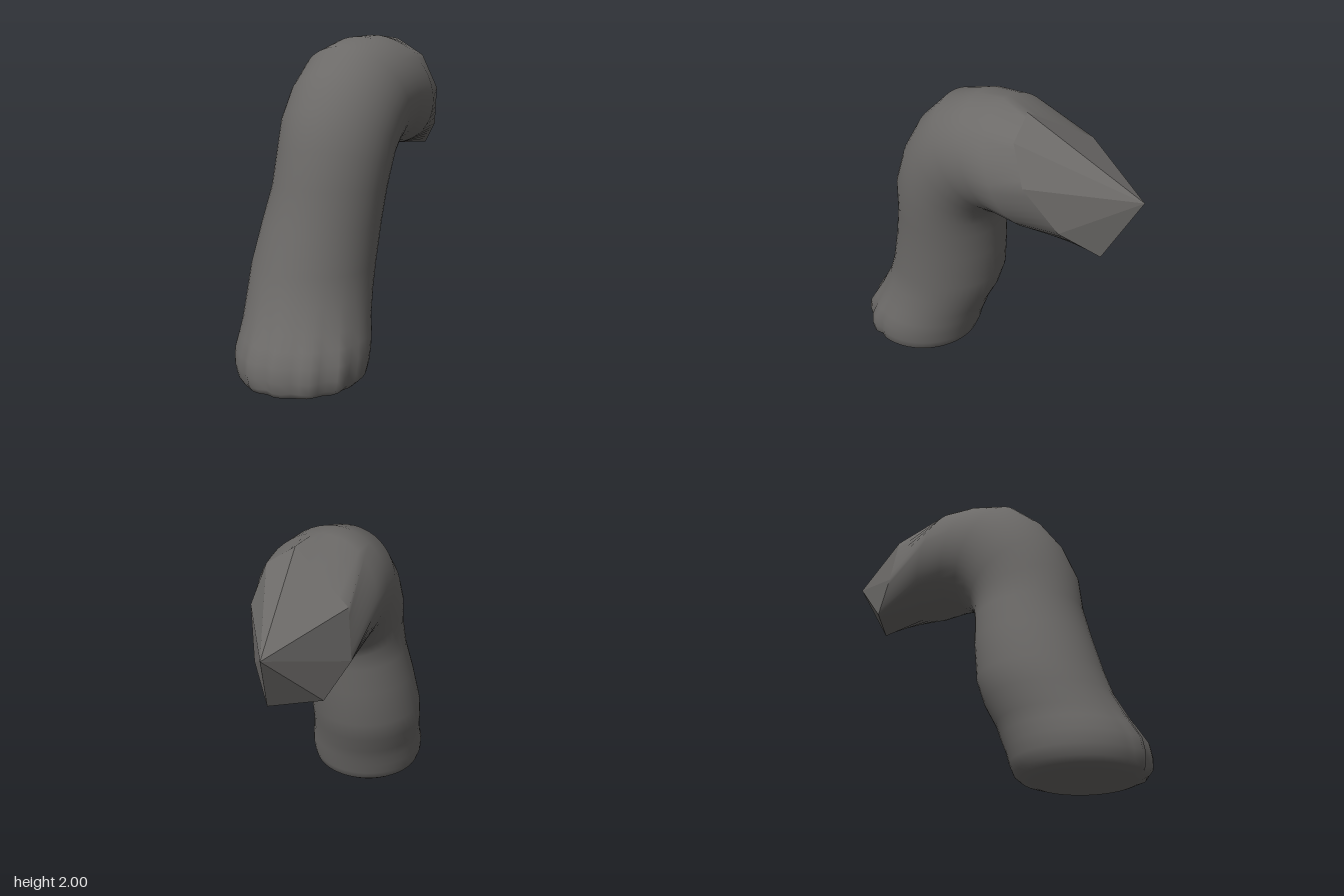
import * as THREE from 'three';

const N = 48; // points around each ring
// the limb bends backwards in the vertical plane along -FWD; SIDE is across it
const FWD = new THREE.Vector3(-0.42, 0, 0.907);
const SIDE = new THREE.Vector3(0.907, 0, 0.42);
const UP = new THREE.Vector3(0, 1, 0);

// rings: centre x, y, z, in-plane radius, side radius, tilt in degrees, toe depth
const RINGS = [
  [-0.19, 0.01, 0.56, 0.29, 0.29, 0, 0.0],
  [-0.20, 0.03, 0.55, 0.355, 0.35, 0, 0.02],
  [-0.195, 0.06, 0.54, 0.38, 0.38, 0, 0.035],
  [-0.195, 0.12, 0.53, 0.395, 0.395, 0, 0.04],
  [-0.19, 0.20, 0.515, 0.40, 0.40, 0, 0.035],
  [-0.18, 0.28, 0.48, 0.395, 0.39, 0, 0.02],
  [-0.175, 0.36, 0.445, 0.385, 0.38, 0, 0.008],
  [-0.165, 0.50, 0.375, 0.385, 0.375, 0, 0],
  [-0.148, 0.65, 0.33, 0.385, 0.372, 0, 0],
  [-0.102, 0.90, 0.295, 0.365, 0.358, 0, 0],
  [-0.058, 1.10, 0.275, 0.345, 0.345, 4, 0],
  [-0.03, 1.26, 0.265, 0.35, 0.345, 15, 0],
  [-0.01, 1.40, 0.215, 0.355, 0.355, 30, 0],
  [0.03, 1.52, 0.14, 0.365, 0.36, 43, 0],
  [0.08, 1.615, 0.04, 0.375, 0.36, 56, 0],
  [0.15, 1.65, -0.10, 0.37, 0.36, 66, 0],
  [0.23, 1.65, -0.26, 0.38, 0.36, 68, 0],
];

// angular corners of the cut end, starting at the top and going round by +x
const END = [
  [0.33, 1.985, -0.27], [0.49, 1.88, -0.23], [0.588, 1.67, -0.30], [0.585, 1.42, -0.50],
  [0.53, 1.27, -0.73], [0.23, 1.29, -0.74], [0.07, 1.47, -0.65], [0.08, 1.76, -0.60],
].map((p) => new THREE.Vector3(...p));
const TIP = new THREE.Vector3(0.55, 1.65, -0.93);
const SOLE = new THREE.Vector3(-0.19, 0, 0.56);

function ringPoints([x, y, z, r, rs, tilt, toe]) {
  const a = THREE.MathUtils.degToRad(tilt);
  const out = FWD.clone().multiplyScalar(Math.cos(a)).addScaledVector(UP, Math.sin(a));
  const pts = [];
  for (let j = 0; j < N; j++) {
    const phi = (j / N) * Math.PI * 2;
    const p = new THREE.Vector3().addScaledVector(out, r * Math.cos(phi)).addScaledVector(SIDE, rs * Math.sin(phi));
    // four rounded toes across the front of the paw
    const psi = Math.atan2(p.x, p.z);
    if (toe && Math.abs(psi) < 0.9) {
      p.multiplyScalar(1 + (toe / r) * (Math.abs(Math.sin((psi * Math.PI) / 0.45)) - 0.5));
    }
    pts.push(p.add(new THREE.Vector3(x, y, z)));
  }
  return pts;
}

function endPoints() {
  const step = N / END.length;
  return Array.from({ length: N }, (_, j) => {
    const k = Math.floor(j / step);
    return END[k].clone().lerp(END[(k + 1) % END.length], (j % step) / step);
  });
}

// skin stretched over successive rings, with smooth normals
function loft(rings) {
  const index = [];
  for (let i = 0; i < rings.length - 1; i++) {
    for (let j = 0; j < N; j++) {
      const k = (j + 1) % N;
      const a = i * N + j, b = i * N + k, c = a + N, d = b + N;
      index.push(a, b, c, b, d, c);
    }
  }
  const geo = new THREE.BufferGeometry().setFromPoints(rings.flat());
  geo.setIndex(index);
  geo.computeVertexNormals();
  return geo;
}

// flat-faced fan from a closed loop to one point
function fan(loop, apex, flip) {
  const pts = [];
  loop.forEach((p, j) => {
    const q = loop[(j + 1) % loop.length];
    pts.push(...(flip ? [q, p, apex] : [p, q, apex]));
  });
  const geo = new THREE.BufferGeometry().setFromPoints(pts);
  geo.computeVertexNormals();
  return geo;
}

export function createModel() {
  const group = new THREE.Group();
  group.name = 'pawLimb';
  const fur = new THREE.MeshStandardMaterial({ color: 0x6c6a68 });
  fur.name = 'darkGrey';
  const add = (name, geo) => {
    const mesh = new THREE.Mesh(geo, fur);
    mesh.name = name;
    group.add(mesh);
  };

  const rings = RINGS.map(ringPoints);
  add('limb', loft([...rings, endPoints()]));
  add('sole', fan(rings[0], SOLE, true));
  add('pointedEnd', fan(END, TIP, false));
  return group;
}
